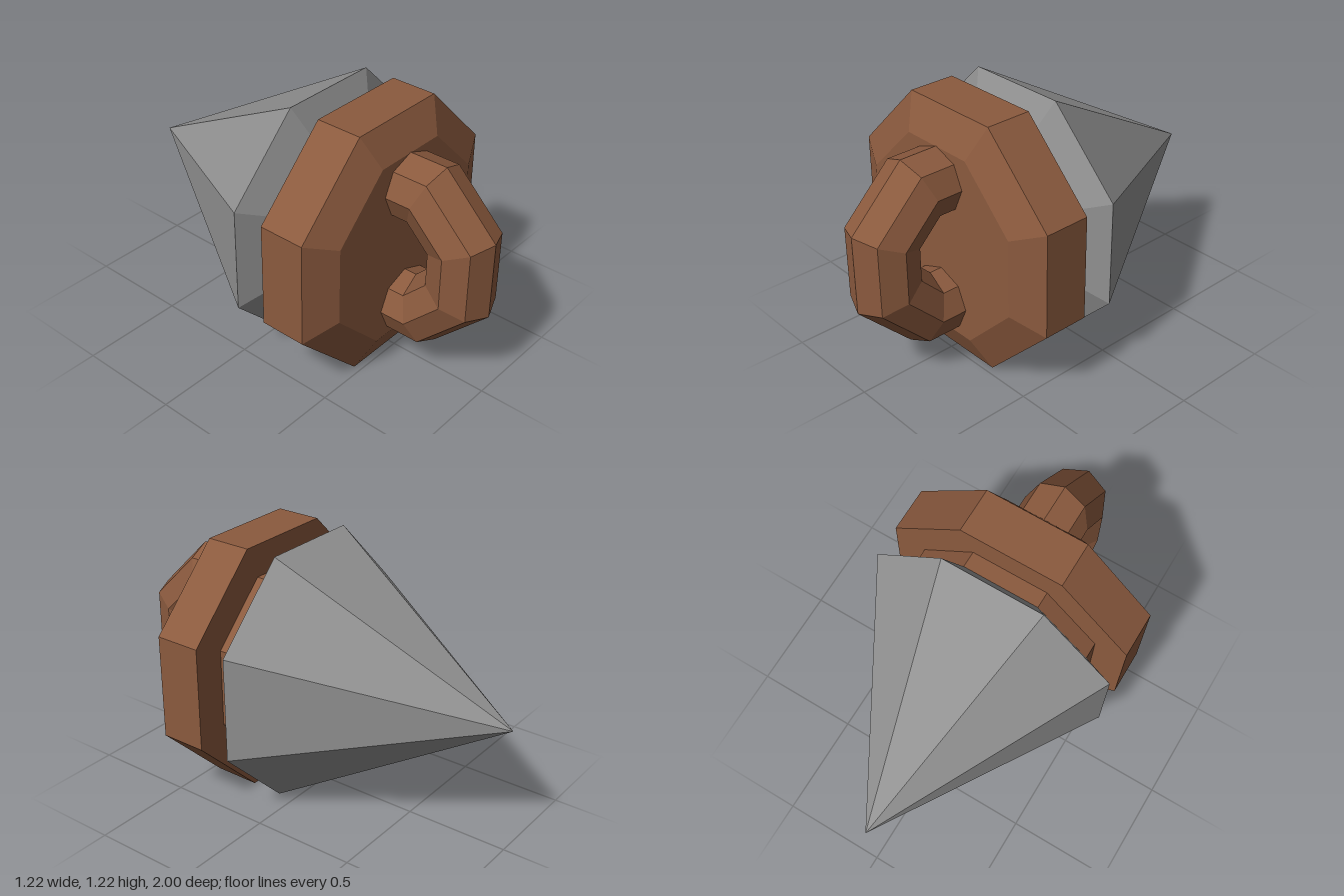
import * as THREE from 'three';

const CENTER_Y = 0.61;
const OUTER = 0.61;  // flat-to-centre distance of the wide octagons
const INNER = 0.455; // flat-to-centre distance of the narrow octagons

// Unshared vertices give every face its own flat normal
function facet(geometry) {
  const g = geometry.toNonIndexed();
  g.computeVertexNormals();
  return g;
}

// Octagonal solid along z from [flat distance, z] pairs, back to front
function octagonSolid(profile) {
  const points = profile.map(([a, z]) => new THREE.Vector2(a / Math.cos(Math.PI / 8), z));
  const g = new THREE.LatheGeometry(points, 8, Math.PI / 8);
  g.rotateX(Math.PI / 2);
  return facet(g);
}

export function createModel() {
  const group = new THREE.Group();
  const steel = new THREE.MeshStandardMaterial({ color: 0x919191 });
  steel.name = 'grey metal';
  const wood = new THREE.MeshStandardMaterial({ color: 0x8b5a3e });
  wood.name = 'brown wood';

  const add = (name, geometry, material, z = 0) => {
    const mesh = new THREE.Mesh(geometry, material);
    mesh.name = name;
    mesh.position.set(0, CENTER_Y, z);
    group.add(mesh);
  };

  // Pointed tip with a bevelled base
  add('tip', octagonSolid([[0, -1], [OUTER, 0.085], [INNER, 0.16], [0, 0.16]]), steel);

  // Narrow neck stepping out to a bevelled collar
  add('collar', octagonSolid([
    [0, 0.16], [INNER, 0.16], [INNER, 0.24], [OUTER, 0.24],
    [OUTER, 0.465], [INNER, 0.54], [0, 0.54],
  ]), wood);

  // Ring handle, its open ends sunk into the collar
  const ring = new THREE.TorusGeometry(0.33, 0.165, 8, 5, Math.PI * 1.25);
  ring.rotateZ(-Math.PI * 0.625);
  ring.rotateY(-Math.PI / 2);
  add('ringHandle', facet(ring), wood, 0.54);

  return group;
}
